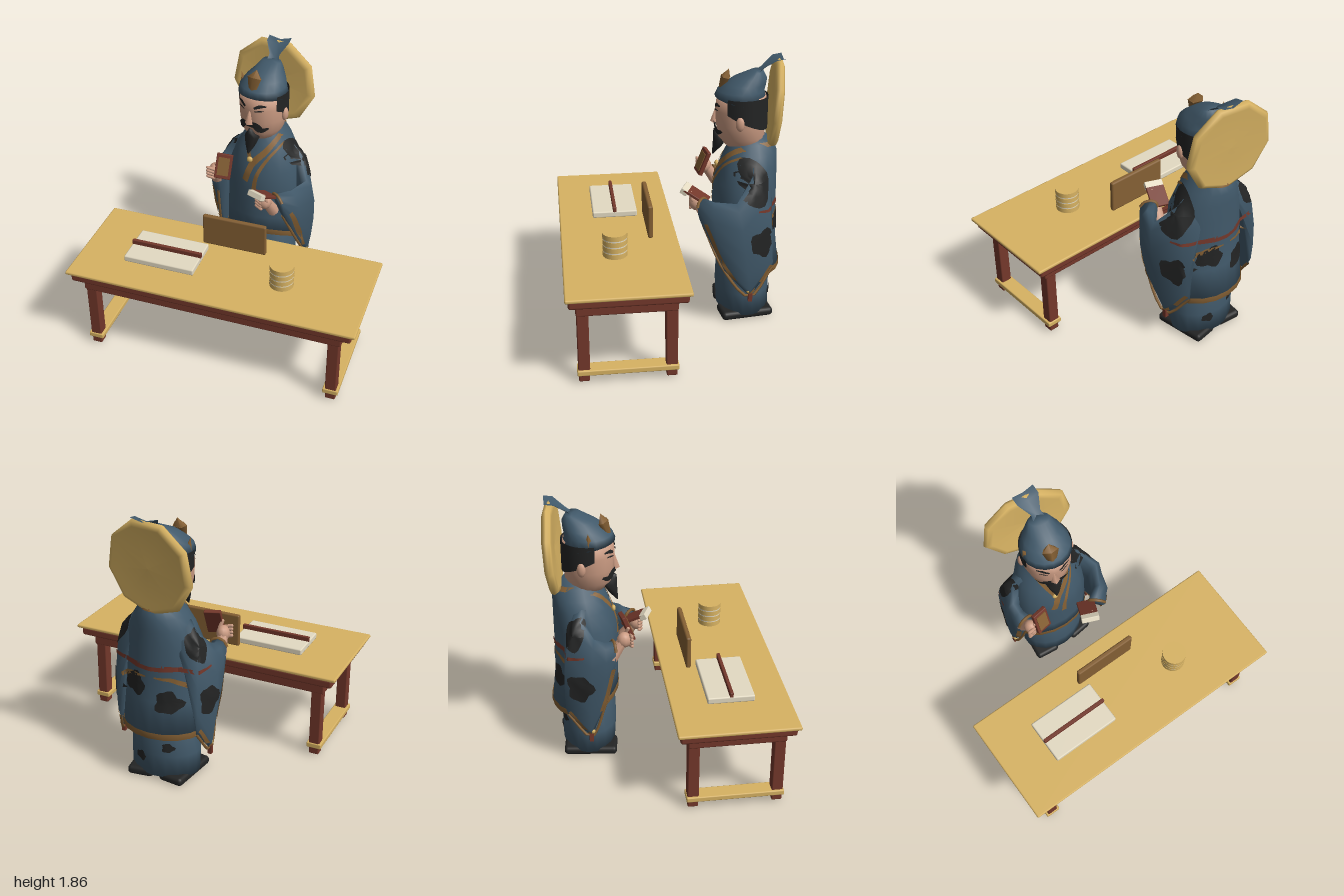
import * as THREE from 'three';
import { RoundedBoxGeometry } from 'three/addons/geometries/RoundedBoxGeometry.js';

const V = (x, y, z) => new THREE.Vector3(x, y, z);
const paint = (name, color, side = THREE.FrontSide) => {
  const m = new THREE.MeshStandardMaterial({ color, side });
  m.name = name;
  return m;
};
const gold = paint('gold', 0xd8b363);
const red = paint('dark red', 0x74382b);
const blue = paint('slate blue', 0x41596a, THREE.DoubleSide);
const black = paint('black', 0x232424, THREE.DoubleSide);
const skin = paint('skin', 0xcd9d84);
const brown = paint('brown', 0x856034, THREE.DoubleSide);
const cream = paint('cream', 0xe4dbc3);

function add(parent, name, geo, mat, x = 0, y = 0, z = 0, rx = 0, ry = 0, rz = 0) {
  const m = new THREE.Mesh(geo, mat);
  m.name = name;
  m.position.set(x, y, z);
  m.rotation.set(rx, ry, rz);
  parent.add(m);
  return m;
}
// Rounded box given by its limits
function slab(parent, name, mat, x0, x1, y0, y1, z0, z1, r = 0.008) {
  const geo = new RoundedBoxGeometry(x1 - x0, y1 - y0, z1 - z0, 1, r);
  return add(parent, name, geo, mat, (x0 + x1) / 2, (y0 + y1) / 2, (z0 + z1) / 2);
}
const ball = (rx, ry, rz, n = 10) => new THREE.SphereGeometry(1, n, 8).scale(rx, ry, rz);

// Skin over rings of points, optionally closed around and capped
function loft(rings, closed = true, cap = closed) {
  const n = rings[0].length, pts = rings.flat(), idx = [];
  for (let i = 0; i < rings.length - 1; i++)
    for (let j = 0; j < (closed ? n : n - 1); j++) {
      const a = i * n + j, b = i * n + (j + 1) % n;
      idx.push(a, b, a + n, b, b + n, a + n);
    }
  if (cap) [0, rings.length - 1].forEach((r, end) => {
    const c = pts.length;
    pts.push(rings[r].reduce((s, p) => s.add(p), V(0, 0, 0)).divideScalar(n));
    for (let j = 0; j < n; j++) {
      const a = r * n + j, b = r * n + (j + 1) % n;
      idx.push(c, end ? a : b, end ? b : a);
    }
  });
  const g = new THREE.BufferGeometry().setFromPoints(pts);
  g.setIndex(idx);
  g.computeVertexNormals();
  return g;
}
// Level oval: half width, front z, back z
const oval = (y, rx, zf, zb, n = 18) => Array.from({ length: n }, (_, i) => {
  const a = i / n * Math.PI * 2;
  return V(rx * Math.sin(a), y, (zf + zb) / 2 + (zf - zb) / 2 * Math.cos(a));
});
const tube = (pts, r) => new THREE.TubeGeometry(new THREE.CatmullRomCurve3(pts), pts.length * 3, r, 5);

// Flat band along x, y points with a width for each
function strip(path, widths, steps = 16) {
  const curve = new THREE.CatmullRomCurve3(path.map(([x, y]) => V(x, y, 0)));
  const rows = [];
  for (let i = 0; i <= steps; i++) {
    const t = i / steps, p = curve.getPoint(t), d = curve.getTangent(t);
    const f = t * (widths.length - 1), k = Math.min(Math.floor(f), widths.length - 2);
    const w = THREE.MathUtils.lerp(widths[k], widths[k + 1], f - k) / 2;
    rows.push([-1, 0, 1].map(s => V(p.x + d.y * w * s, p.y - d.x * w * s, 0)));
  }
  return loft(rows, false);
}
// Flat irregular patch
function blob(x, y, rx, ry, wobble = 0.12) {
  const g = new THREE.RingGeometry(0.001, 1, 20, 4), p = g.attributes.position;
  for (let i = 0; i < p.count; i++) {
    const a = Math.atan2(p.getY(i), p.getX(i)), k = 1 + wobble * Math.sin(3 * a + x * 20) + wobble * Math.cos(5 * a);
    p.setXYZ(i, x + p.getX(i) * rx * k, y + p.getY(i) * ry * k, 0);
  }
  return g;
}
// Lays a flat piece onto surfaces, seen from the given turn about y
function lay(parent, name, geo, mat, targets, turn = 0, lift = 0.007) {
  const p = geo.attributes.position, up = V(0, 1, 0), depth = [];
  const dir = V(0, 0, -1).applyAxisAngle(up, turn);
  for (let i = 0; i < p.count; i++) {
    const from = V(p.getX(i), p.getY(i), 3).applyAxisAngle(up, turn);
    const hit = new THREE.Raycaster(from, dir).intersectObjects(targets)[0];
    depth.push(hit ? hit.distance : NaN);
    const q = hit ? hit.point.addScaledVector(dir, -lift) : from;
    p.setXYZ(i, q.x, q.y, q.z);
  }
  const src = Array.from(geo.index.array), keep = [];
  for (let i = 0; i < src.length; i += 3) {
    const t = src.slice(i, i + 3), d = t.map(k => depth[k]);
    if (Math.max(...d) - Math.min(...d) < 0.12) keep.push(...t);
  }
  geo.setIndex(keep);
  geo.computeVertexNormals();
  add(parent, name, geo, mat);
}

function makeTable() {
  const t = new THREE.Group();
  t.name = 'table';
  slab(t, 'tableTop', gold, -1, 1, 0.64, 0.665, -0.02, 0.77, 0.01);
  slab(t, 'upperFrame', red, -0.97, 0.97, 0.58, 0.64, 0.0, 0.75, 0.015);
  slab(t, 'apron', red, -0.9, 0.9, 0.492, 0.58, 0.06, 0.705, 0.01);
  for (const s of [-1, 1]) {
    for (const z of [0.1, 0.663]) {
      slab(t, 'leg', red, s * 0.85 - 0.038, s * 0.85 + 0.038, 0.05, 0.51, z - 0.038, z + 0.038);
      slab(t, 'foot', red, s * 0.85 - 0.035, s * 0.85 + 0.035, 0.01, 0.07, z - 0.035, z + 0.035);
    }
    slab(t, 'stretcher', gold, s * 0.85 - 0.053, s * 0.85 + 0.053, 0.06, 0.098, 0.055, 0.708);
  }
  slab(t, 'standingBoard', brown, -0.23, 0.225, 0.675, 0.91, 0.148, 0.182, 0.012);
  slab(t, 'paperStack', cream, -0.67, -0.17, 0.665, 0.71, 0.22, 0.535, 0.01);
  slab(t, 'paperweight', red, -0.67, -0.165, 0.705, 0.742, 0.367, 0.391, 0.005);
  for (let i = 0; i < 4; i++) {
    add(t, 'jarSection', new THREE.CylinderGeometry(0.082, 0.082, 0.034, 20), gold, 0.415, 0.684 + i * 0.043, 0.42);
    if (i) add(t, 'jarGroove', new THREE.CylinderGeometry(0.0805, 0.0805, 0.009, 20), cream, 0.415, 0.6625 + i * 0.043, 0.42);
  }
  return t;
}

function makeHead() {
  const h = new THREE.Group();
  h.name = 'head';
  h.position.set(-0.01, 0, -0.48);
  h.rotation.y = -0.28;
  const face = add(h, 'face', loft([[1.2, 0.07, 0.05, -0.1], [1.25, 0.1, 0.11, -0.14], [1.31, 0.14, 0.16, -0.16],
    [1.4, 0.162, 0.172, -0.165], [1.5, 0.166, 0.178, -0.17], [1.6, 0.16, 0.165, -0.165]].map(r => oval(...r))), skin);
  face.updateMatrixWorld();
  const arc = yOf => Array.from({ length: 17 }, (_, i) => {
    const a = 1.12 + i / 16 * (2 * Math.PI - 2.24);
    return V(0.174 * Math.sin(a), yOf((1 - Math.cos(a)) / 2), 0.178 * Math.cos(a));
  });
  add(h, 'hair', loft([arc(k => 1.54 - 0.17 * k), arc(() => 1.6)], false), black);
  add(h, 'nose', new THREE.ConeGeometry(0.032, 0.12, 4).scale(1, 1, 0.8), skin, 0, 1.455, 0.178, -0.12);
  for (const s of [-1, 1]) {
    add(h, 'ear', ball(0.022, 0.05, 0.03), skin, s * 0.17, 1.44, -0.01);
    lay(h, 'eyebrow', strip([[s * 0.035, 1.52], [s * 0.07, 1.538], [s * 0.11, 1.54]], [0.014, 0.026, 0.01]), black, [face]);
    lay(h, 'eye', strip([[s * 0.04, 1.498], [s * 0.07, 1.504], [s * 0.1, 1.505]], [0.004, 0.012, 0.004]), black, [face]);
    lay(h, 'moustache', strip([[0, 1.385], [s * 0.045, 1.39], [s * 0.08, 1.355], [s * 0.12, 1.365]], [0.025, 0.055, 0.05, 0.012]),
      black, [face], 0, 0.016);
  }
  // Pointed beard
  add(h, 'beard', loft([[1.16, 0.006, 0.195, 0.185], [1.22, 0.038, 0.192, 0.13], [1.28, 0.058, 0.188, 0.09],
    [1.32, 0.03, 0.19, 0.1], [1.345, 0.012, 0.185, 0.12]].map(r => oval(...r, 8))), black);
  // Cap: brim dips at the back, crown slopes up from the front
  const brim = oval(1.565, 0.174, 0.184, -0.175);
  brim.forEach(p => { p.y += p.z * 0.15; });
  add(h, 'hat', loft([brim, oval(1.635, 0.163, 0.165, -0.15), oval(1.68, 0.135, 0.11, -0.16),
    oval(1.72, 0.1, 0.055, -0.165), oval(1.765, 0.07, -0.05, -0.14)]), blue);
  add(h, 'hatOrnament', new THREE.CylinderGeometry(0.058, 0.03, 0.09, 5).scale(1, 1, 0.6), brown, 0.0, 1.675, 0.125, -0.35);
  add(h, 'ornamentTip', new THREE.ConeGeometry(0.056, 0.06, 5).scale(1, 1, 0.6), brown, 0, 1.742, 0.1, -0.35);
  add(h, 'hatWing', new THREE.ConeGeometry(0.028, 0.09, 4), brown, -0.15, 1.65, 0.04, 0, 0, 0.25);
  return h;
}

// Hanging sleeve: rows of top and bottom points from shoulder to cuff
function makeSleeve(parent, rows, widths) {
  const ends = rows.map(([t, b]) => [V(...t), V(...b)]);
  const mids = ends.map(([t, b]) => t.clone().add(b).multiplyScalar(0.5));
  const rings = ends.map(([t, b], i) => {
    const dir = mids[Math.min(i + 1, 4)].clone().sub(mids[Math.max(i - 1, 0)]).setY(0).normalize();
    return Array.from({ length: 12 }, (_, j) => {
      const a = j / 12 * Math.PI * 2;
      return mids[i].clone().addScaledVector(t.clone().sub(b), Math.cos(a) / 2)
        .addScaledVector(V(dir.z, 0, -dir.x), widths[i] * Math.sin(a) * (1 + 0.45 * Math.cos(a)));
    });
  });
  const sleeve = add(parent, 'sleeve', loft(rings), blue);
  const edge = ends.slice(1).map(e => e[1]), s = Math.sign(edge[0].x);
  add(parent, 'sleeveEdge', tube(edge, 0.01), brown);
  lay(parent, 'sleeveTrim', strip(edge.map(p => [-s * p.z, p.y + 0.024]), [0.045, 0.045], 30), brown, [sleeve], s * Math.PI / 2);
  add(parent, 'cuffTrim', tube([10, 11, 0, 1, 2].map(j => rings[4][j]), 0.011), brown);
  const tip = ends[2][1];
  add(parent, 'sleeveTassel', new THREE.BoxGeometry(0.028, 0.065, 0.028), red, tip.x, tip.y, tip.z);
  add(parent, 'tasselBead', ball(0.016, 0.018, 0.016), gold, tip.x, tip.y + 0.045, tip.z + 0.012);
  return sleeve;
}

function makeHand(name, x, y, z, turn) {
  const g = new THREE.Group();
  g.name = name;
  g.position.set(x, y, z);
  g.rotation.y = turn;
  add(g, 'palm', ball(0.045, 0.055, 0.05), skin);
  add(g, 'wrist', new THREE.CylinderGeometry(0.034, 0.045, 0.16, 8), skin, 0, -0.055, -0.045, 0.6);
  for (let i = 0; i < 4; i++)
    add(g, 'finger', new THREE.CapsuleGeometry(0.013, 0.045, 2, 6), skin, -0.025, 0.035 - i * 0.024, 0.04, 0, 0, 1.3);
  add(g, 'thumb', new THREE.CapsuleGeometry(0.013, 0.05, 2, 6), skin, 0.02, 0.05, 0.025, 0.3, 0, 0.3);
  return g;
}

function makeFigure() {
  const f = new THREE.Group();
  f.name = 'scholar';
  for (const s of [-1, 1])
    add(f, 'shoe', new RoundedBoxGeometry(0.18, 0.06, 0.37, 2, 0.025), black, s * 0.135, 0.032, -0.515, 0, s * 0.12);
  const skirt = add(f, 'skirt', loft([[0.04, 0.24, -0.33, -0.7], [0.2, 0.245, -0.32, -0.7], [0.55, 0.22, -0.33, -0.7]]
    .map(r => oval(...r))), blue);
  const hem = oval(0.37, 0.285, -0.3, -0.765);
  hem.forEach(p => { p.y += 0.12 * Math.max(0, (p.z + 0.53) / 0.23); });
  const coat = add(f, 'coat', loft([hem, ...[[0.62, 0.28, -0.3, -0.735], [0.85, 0.27, -0.29, -0.73], [1.0, 0.255, -0.3, -0.73],
    [1.12, 0.215, -0.34, -0.73], [1.2, 0.17, -0.37, -0.73], [1.27, 0.12, -0.4, -0.71], [1.32, 0.09, -0.43, -0.65]]
    .map(r => oval(...r))]), blue);
  const band = (up, k) => hem.map(p => V(p.x * k, p.y + up, -0.532 + (p.z + 0.532) * k));
  add(f, 'hemTrim', loft([band(-0.003, 0.98), band(-0.003, 1.02), band(0.04, 1.015)], true, false), brown);
  // The left arm swings out and across, the right arm points ahead
  const left = makeSleeve(f, [[[0.12, 1.23, -0.55], [0.21, 0.8, -0.65]], [[0.25, 1.1, -0.52], [0.26, 0.42, -0.67]],
    [[0.34, 0.95, -0.4], [0.33, 0.24, -0.51]], [[0.27, 0.94, -0.26], [0.32, 0.44, -0.33]],
    [[0.18, 0.93, -0.19], [0.23, 0.76, -0.19]]], [0.065, 0.065, 0.055, 0.055, 0.055]);
  const right = makeSleeve(f, [[[-0.12, 1.23, -0.53], [-0.25, 0.8, -0.64]], [[-0.25, 1.1, -0.56], [-0.3, 0.42, -0.67]],
    [[-0.31, 1.0, -0.48], [-0.33, 0.24, -0.52]], [[-0.31, 0.97, -0.41], [-0.32, 0.48, -0.42]],
    [[-0.3, 0.97, -0.35], [-0.31, 0.76, -0.35]]], [0.08, 0.08, 0.055, 0.055, 0.055]);
  const cloth = [skirt, coat, left, right], back = Math.PI, side = Math.PI / 2;

  // Collar bands, clasp and straps
  lay(f, 'collarBand', strip([[0.12, 1.25], [0.05, 1.16], [-0.04, 1.06], [-0.09, 0.92]], [0.035, 0.045, 0.045]), brown, [coat]);
  lay(f, 'collarBand', strip([[-0.12, 1.24], [-0.09, 1.16], [-0.06, 1.09]], [0.025, 0.03, 0.03]), brown, [coat]);
  lay(f, 'lapelBand', strip([[0.15, 1.2], [0.07, 1.11], [0.0, 0.98], [-0.02, 0.85]], [0.015, 0.025, 0.035]), brown, [coat]);
  add(f, 'clasp', ball(0.022, 0.022, 0.015), gold, -0.06, 1.09, -0.325);
  lay(f, 'neckBand', strip([[-0.11, 1.27], [0, 1.265], [0.11, 1.27]], [0.03, 0.03]), brown, [coat], back);
  lay(f, 'backStrap', strip([[-0.2, 0.87], [0, 0.86], [0.2, 0.87]], [0.03, 0.03]), red, cloth, back);
  lay(f, 'shoulderPatch', blob(0.33, 1.06, 0.125, 0.15, 0.04), black, cloth, side + 0.5);
  lay(f, 'shoulderPatch', blob(-0.4, 1.02, 0.07, 0.1, 0.06), black, cloth, -side - 0.5);
  for (const s of [-1, 1]) {
    lay(f, 'sideStrap', strip([[s * 0.55, 0.88], [s * 0.64, 0.87], [s * 0.72, 0.87]], [0.012, 0.035]), red, cloth, s * side);
    lay(f, 'sidePatch', blob(s * 0.585, 0.65, 0.085, 0.1), black, cloth, s * side);
    lay(f, 'backPatch', blob(s * 0.12, 0.68 - s * 0.05, 0.085, 0.08), black, cloth, back);
    lay(f, 'skirtPatch', blob(s * 0.1, 0.22 + s * 0.05, 0.04, 0.035), black, [skirt], back);
    lay(f, 'backBand', strip([[s * 0.03, 0.8], [s * 0.15, 0.79], [s * 0.24, 0.74]], [0.01, 0.03, 0.03]), brown, cloth, back);
  }

  // Hands and what they hold
  const rightHand = makeHand('rightHand', -0.305, 0.98, -0.28, 0.2);
  add(rightHand, 'heldTablet', new RoundedBoxGeometry(0.115, 0.18, 0.03, 1, 0.005), red, 0.068, 0.06, 0.04, -0.35, 0, -0.1);
  add(rightHand, 'tabletPanel', new THREE.BoxGeometry(0.08, 0.13, 0.008), brown, 0.068, 0.066, 0.055, -0.35, 0, -0.1);
  const leftHand = makeHand('leftHand', 0.11, 0.875, -0.16, -0.4);
  add(leftHand, 'heldBook', new RoundedBoxGeometry(0.125, 0.022, 0.18, 1, 0.005), red, -0.015, 0.055, 0.0, -0.5);
  add(leftHand, 'bookPages', new RoundedBoxGeometry(0.125, 0.042, 0.05, 1, 0.005), cream, -0.015, 0.085, 0.075, -0.5);
  f.add(rightHand, leftHand, makeHead());

  // Round straw hat worn behind the head, with its ribbon
  const profile = [[0, -0.025], [0.25, -0.02], [0.28, -0.034], [0.31, -0.022], [0.322, 0], [0.305, 0.024], [0.27, 0.03], [0, 0.008]];
  const disc = new THREE.LatheGeometry(profile.map(p => new THREE.Vector2(...p)), 9).rotateX(Math.PI / 2);
  add(f, 'backHat', disc, gold, -0.005, 1.54, -0.705, -0.07, -0.14);
  const ribbon = [[1.75, -0.56, 0.045], [1.79, -0.61, 0.035], [1.85, -0.69, 0.08], [1.86, -0.75, 0.08]]
    .map(([y, z, w]) => [V(0.02 - w, y, z), V(0.02, y - 0.02, z), V(0.02 + w, y, z)]);
  add(f, 'hatRibbon', loft(ribbon, false), blue);
  return f;
}

export function createModel() {
  const model = new THREE.Group();
  model.name = 'scholarAtDesk';
  model.add(makeTable(), makeFigure());
  return model;
}
